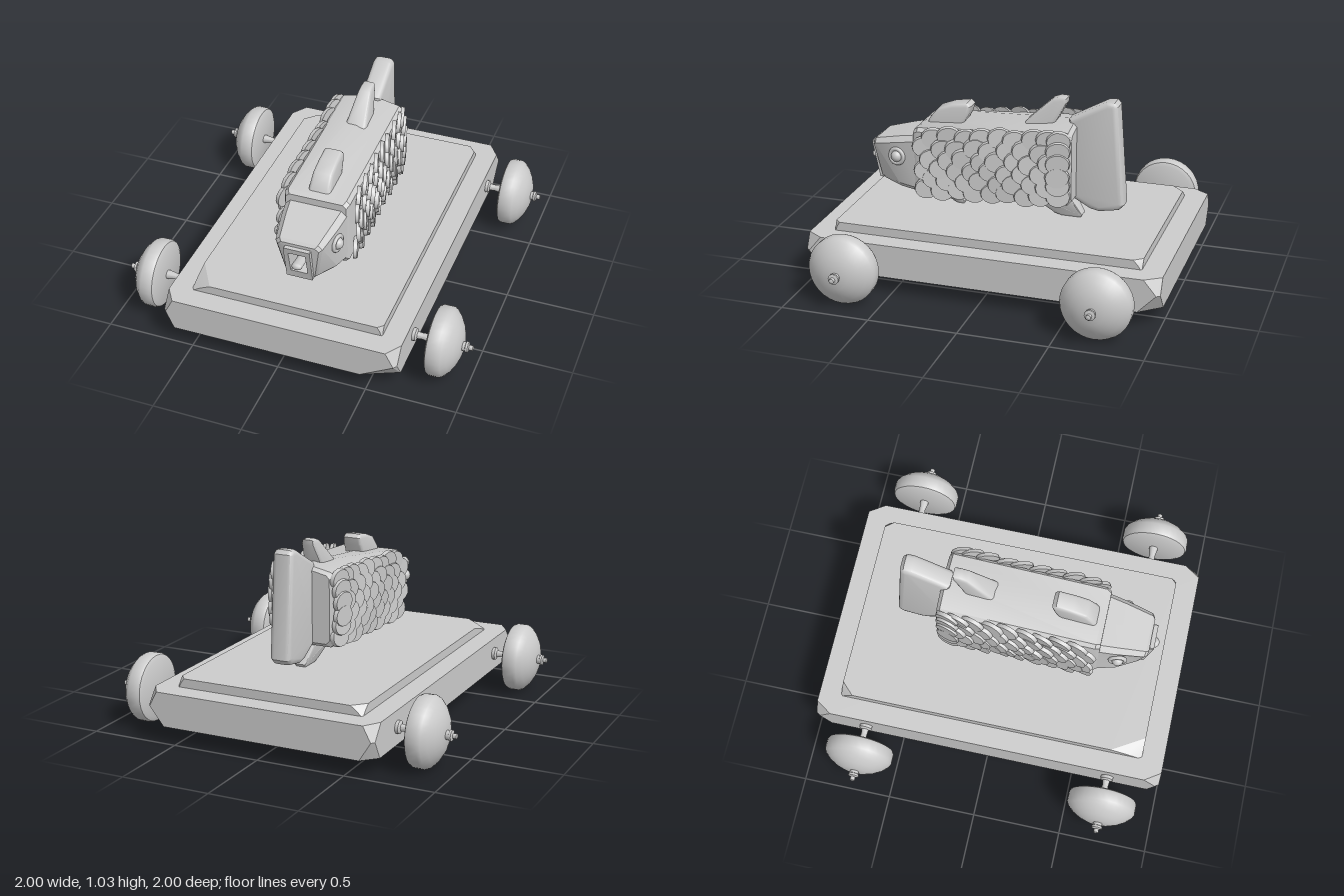
import * as THREE from 'three';
import { toCreasedNormals } from 'three/addons/utils/BufferGeometryUtils.js';
import { ConvexGeometry } from 'three/addons/geometries/ConvexGeometry.js';

const material = new THREE.MeshStandardMaterial({ color: 0xcccccc, side: THREE.DoubleSide });
const FISH_X = 0.045;

function part(parent, name, geometry, x = 0, y = 0, z = 0) {
  const mesh = new THREE.Mesh(geometry, material);
  mesh.name = name;
  mesh.position.set(x, y, z);
  parent.add(mesh);
  return mesh;
}

// Chipped slab: each corner is cut by [dx, dz] at the top, middle and bottom
function slab(hx, hz, y0, y1, corners) {
  const points = [];
  const signs = [[1, 1], [1, -1], [-1, 1], [-1, -1]];
  signs.forEach(([sx, sz], i) => {
    const { top, mid, bottom } = corners[i];
    [[y1, top], [y0 + (y1 - y0) * 0.55, mid], [y0, bottom]].forEach(([y, [dx, dz]]) => {
      points.push(new THREE.Vector3(sx * (hx - dx), y, sz * hz));
      points.push(new THREE.Vector3(sx * hx, y, sz * (hz - dz)));
    });
  });
  return toCreasedNormals(new ConvexGeometry(points), 0.3);
}

// Cross-section with cut corners and an optional ridge along the top
function ring(zb, zt, yb, yt, wb, wt, c = 0.02, ridge = 0) {
  const flat = [
    [-wb + c, yb], [wb - c, yb], [wb, yb + c], [wt, yt - c],
    [wt - c, yt], [0, yt + ridge], [-wt + c, yt], [-wt, yt - c], [-wb, yb + c],
  ];
  return flat.map(([x, y]) => [x, y, zb + (zt - zb) * (y - yb) / (yt - yb)]);
}

// Skin the cross-sections from back to front and cap both ends
function loft(rings) {
  const n = rings[0].length, index = [];
  const last = (rings.length - 1) * n;
  for (let i = 0; i < rings.length - 1; i++) {
    for (let j = 0; j < n; j++) {
      const k = (j + 1) % n, a = i * n, b = a + n;
      index.push(a + j, a + k, b + k, a + j, b + k, b + j);
    }
  }
  for (let j = 1; j < n - 1; j++) {
    index.push(0, j + 1, j, last, last + j, last + j + 1);
  }
  const geometry = new THREE.BufferGeometry();
  geometry.setAttribute('position', new THREE.Float32BufferAttribute(rings.flat(2), 3));
  geometry.setIndex(index);
  return toCreasedNormals(geometry, 0.5);
}

// Fin from a [z, y] side outline, narrowing in x from its root to its tip
function fin(outline, width, rootY, tipY, tipScale, bevel = 0.02) {
  const shape = new THREE.Shape(outline.map(([z, y]) => new THREE.Vector2(-z, y)));
  const geometry = new THREE.ExtrudeGeometry(shape, {
    depth: width - 2 * bevel, bevelSize: bevel, bevelThickness: bevel,
    bevelOffset: -bevel, bevelSegments: 3,
  });
  geometry.translate(0, 0, bevel - width / 2).rotateY(Math.PI / 2);
  const p = geometry.attributes.position;
  for (let i = 0; i < p.count; i++) {
    const t = THREE.MathUtils.clamp((p.getY(i) - rootY) / (tipY - rootY), 0, 1);
    p.setX(i, p.getX(i) * (1 + (tipScale - 1) * t));
  }
  return toCreasedNormals(geometry, 0.6);
}

function lathe(profile, segments) {
  const points = profile.map(([r, x]) => new THREE.Vector2(r, x));
  return toCreasedNormals(new THREE.LatheGeometry(points, segments).rotateZ(-Math.PI / 2), 0.5);
}

function buildCart(root) {
  const cart = new THREE.Group();
  cart.name = 'cart';
  root.add(cart);
  const worn = (dx, dz) => ({ top: [0.06, 0.09], mid: [0.015, 0.02], bottom: [dx, dz] });
  part(cart, 'base', slab(0.665, 1, 0.095, 0.285,
    [worn(0.2, 0.09), worn(0.1, 0.12), worn(0.06, 0.06), worn(0.08, 0.08)]));
  const chip = (dx, dz) => ({ top: [dx, dz], mid: [dx / 2, dz / 2], bottom: [0.005, 0.005] });
  part(cart, 'deck', slab(0.547, 0.875, 0.28, 0.335,
    [chip(0.03, 0.03), chip(0.04, 0.05), chip(0.11, 0.18), chip(0.07, 0.07)]));

  // Domed wheels on turned axles
  const wheelProfile = [
    [0, 0.775], [0.165, 0.775], [0.187, 0.785], [0.194, 0.8], [0.194, 0.85], [0.185, 0.868],
    [0.155, 0.896], [0.115, 0.92], [0.07, 0.937], [0, 0.942],
  ];
  const axleProfile = [
    [0, 0.64], [0.036, 0.64], [0.036, 0.682], [0.02, 0.69], [0.017, 0.72], [0.025, 0.765],
    [0.025, 0.955], [0.03, 0.958], [0.03, 0.97], [0.014, 0.975], [0.014, 0.995], [0, 1],
  ];
  const wheel = lathe(wheelProfile, 32), axle = lathe(axleProfile, 14);
  for (const side of [1, -1]) {
    for (const z of [0.705, -0.705]) {
      const assembly = new THREE.Group();
      assembly.name = 'wheelAssembly';
      assembly.position.set(0, 0.194, z);
      assembly.rotation.y = side > 0 ? 0 : Math.PI;
      part(assembly, 'wheel', wheel);
      part(assembly, 'axle', axle);
      cart.add(assembly);
    }
  }
}

function buildScales(fish) {
  // Overlapping discs in staggered rows that follow the body's slope
  const disc = new THREE.CylinderGeometry(0.92, 1, 1, 14).rotateZ(-Math.PI / 2);
  disc.scale(0.022, 0.062, 0.07);
  const scale = toCreasedNormals(disc, 0.6);
  const rows = 6, columns = 9;
  for (const side of [1, -1]) {
    for (let r = 0; r < rows; r++) {
      for (let c = 0; c < columns; c++) {
        const z = 0.44 - c * 0.096 - (r % 2) * 0.042 + 0.008 * Math.sin(r * 5 + c * 3);
        const t = (0.5 - z) / 0.9, v = r / (rows - 1);
        const low = 0.468 + 0.042 * t, high = 0.77 + 0.07 * t;
        const y = low + (high - low) * v + 0.008 * Math.sin(c * 4 + r * 2);
        const x = 0.198 + 0.02 * Math.sin(Math.PI * v);
        const mesh = part(fish, 'scale', scale, side * x, y, Math.max(z, -0.325));
        mesh.rotation.set(0, side * 0.27 + (side < 0 ? Math.PI : 0), 0.08 * Math.sin(r * 7 + c));
      }
    }
  }
}

function buildFish(root) {
  const fish = new THREE.Group();
  fish.name = 'fish';
  fish.position.x = FISH_X;
  root.add(fish);

  part(fish, 'body', loft([
    ring(-0.39, -0.39, 0.475, 0.86, 0.165, 0.165, 0.02, 0.03),
    ring(-0.37, -0.37, 0.455, 0.875, 0.185, 0.185, 0.02, 0.035),
    ring(0.5, 0.5, 0.412, 0.815, 0.185, 0.185, 0.02, 0),
    ring(0.525, 0.525, 0.43, 0.8, 0.172, 0.172, 0.02, 0),
  ]));

  // Tapered head ending in a square, hollow mouth
  part(fish, 'head', loft([
    ring(0.5, 0.5, 0.428, 0.765, 0.18, 0.178, 0.03),
    ring(0.62, 0.62, 0.438, 0.742, 0.155, 0.162, 0.03),
    ring(0.735, 0.775, 0.45, 0.705, 0.092, 0.132, 0.025),
    ring(0.75, 0.79, 0.455, 0.69, 0.08, 0.115, 0.02),
    ring(0.752, 0.79, 0.457, 0.672, 0.074, 0.074, 0.004),
    ring(0.77, 0.815, 0.457, 0.672, 0.074, 0.074, 0.004),
    ring(0.775, 0.81, 0.5, 0.64, 0.048, 0.048, 0.003),
    ring(0.69, 0.69, 0.51, 0.63, 0.042, 0.042, 0.003),
  ]));
  const tongue = part(fish, 'tongue', new THREE.CapsuleGeometry(0.02, 0.12, 4, 10), 0.005, 0.568, 0.76);
  tongue.scale.x = 1.5;
  tongue.rotation.x = Math.PI / 2 - 0.08;

  // Ringed eyes
  for (const side of [1, -1]) {
    const eye = new THREE.Group();
    eye.name = 'eye';
    eye.position.set(side * 0.163, 0.63, 0.63);
    eye.rotation.y = side * (Math.PI / 2 - 0.17);
    part(eye, 'eyeRim', new THREE.TorusGeometry(0.042, 0.012, 8, 24));
    part(eye, 'eyeball', new THREE.SphereGeometry(0.033, 20, 12));
    fish.add(eye);
  }

  buildScales(fish);

  part(fish, 'tail', fin([
    [-0.34, 0.47], [-0.47, 0.4], [-0.52, 0.39], [-0.63, 0.41], [-0.66, 0.44],
    [-0.615, 1.01], [-0.595, 1.032], [-0.55, 1.03], [-0.34, 0.915],
  ], 0.125, 0.4, 1.03, 0.95, 0.03));
  part(fish, 'rearDorsalFin', fin([
    [-0.06, 0.83], [-0.1, 0.885], [-0.24, 1.015], [-0.28, 1.03], [-0.325, 1.028],
    [-0.32, 0.995], [-0.23, 0.83],
  ], 0.125, 0.86, 1.03, 0.55));
  part(fish, 'frontDorsalFin', fin([
    [0.49, 0.79], [0.47, 0.84], [0.42, 0.9], [0.34, 0.93], [0.25, 0.945],
    [0.228, 0.925], [0.24, 0.88], [0.29, 0.79],
  ], 0.125, 0.82, 0.94, 0.85));
  part(fish, 'frontBellyFin', fin([
    [0.47, 0.45], [0.44, 0.41], [0.32, 0.335], [0.28, 0.33], [0.275, 0.35], [0.32, 0.45],
  ], 0.125, 0.42, 0.33, 0.5, 0.012));
  part(fish, 'rearBellyFin', fin([
    [-0.08, 0.48], [-0.11, 0.45], [-0.26, 0.345], [-0.3, 0.333], [-0.41, 0.333],
    [-0.42, 0.35], [-0.34, 0.48],
  ], 0.125, 0.45, 0.335, 0.5, 0.012));
}

export function createModel() {
  const root = new THREE.Group();
  root.name = 'fishOnWheels';
  buildCart(root);
  buildFish(root);
  return root;
}
